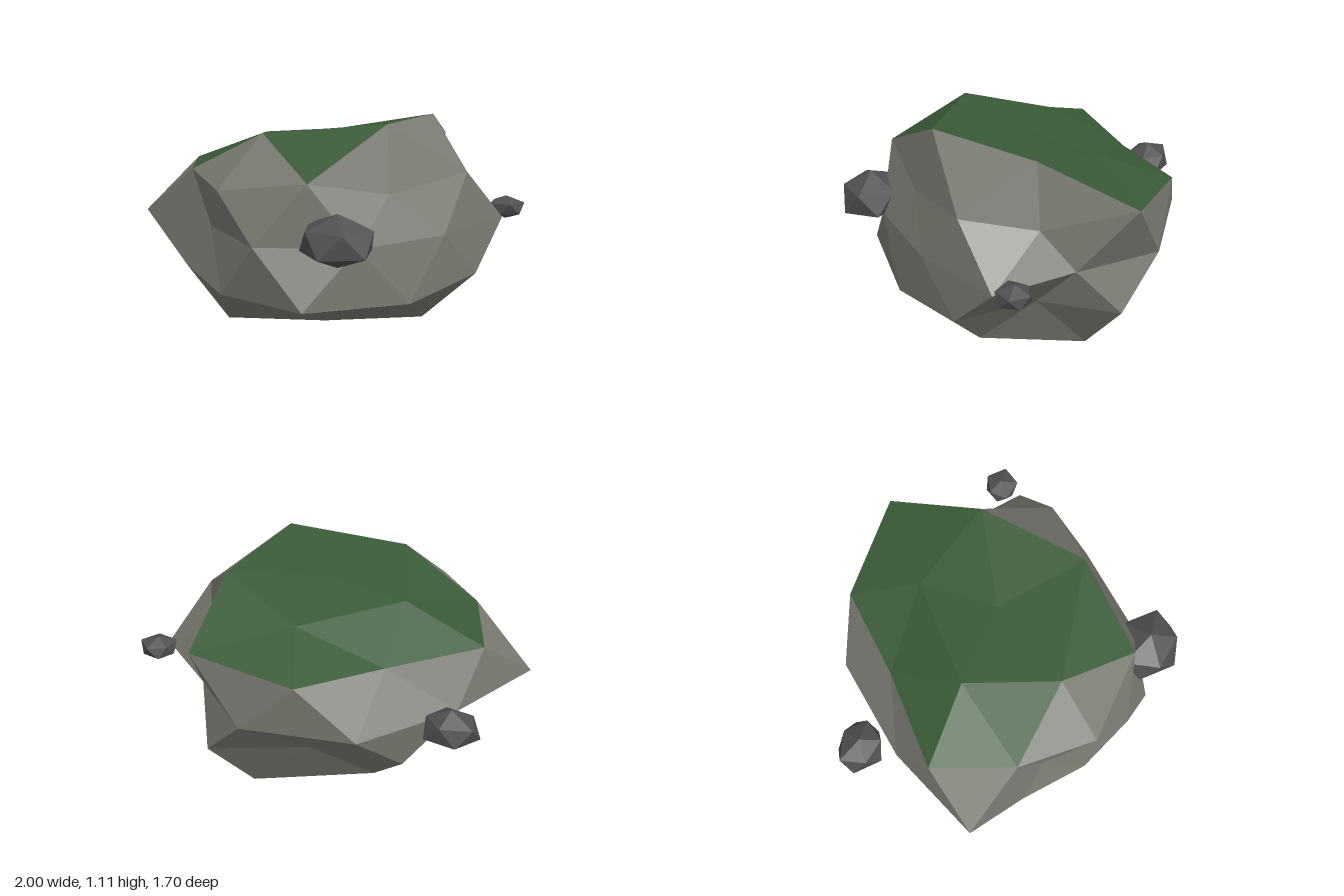
import * as THREE from 'three';

const rockGrey = new THREE.MeshStandardMaterial({ color: 0x7a7b72, flatShading: true });
rockGrey.name = 'rock grey';
const mossGreen = new THREE.MeshStandardMaterial({ color: 0x3a5a38, flatShading: true });
mossGreen.name = 'moss green';
const pebbleGrey = new THREE.MeshStandardMaterial({ color: 0x505050, flatShading: true });
pebbleGrey.name = 'pebble grey';

// Rings of the boulder, each going round from the front left corner
const topPole = [0.03, 1.02, -0.08];
const topRing = [[0.35, 1.11, 0.28], [-0.27, 1.05, 0.32], [-0.38, 0.975, -0.15], [0.08, 0.95, -0.5], [0.5, 1.08, -0.29]];
const upperRing = [
  [0.38, 0.78, 0.37], [0.03, 0.87, 0.63], [-0.44, 0.8, 0.55], [-0.68, 0.83, 0.21], [-0.79, 0.81, -0.21],
  [-0.37, 0.81, -0.53], [-0.02, 0.83, -0.85], [0.51, 0.9, -0.79], [0.58, 0.76, -0.33], [0.72, 0.84, 0.03],
];
const middleRing = [
  [0.27, 0.6], [-0.23, 0.68], [-0.55, 0.32], [-1, 0.05], [-0.71, -0.42],
  [-0.31, -0.82], [0.26, -0.85], [0.57, -0.51], [0.89, -0.19], [0.64, 0.25],
].map(([x, z]) => [x, 0.56, z]);
const lowerRing = [
  [0.5, 0.25, 0.43], [0.03, 0.27, 0.75], [-0.44, 0.26, 0.52], [-0.71, 0.32, 0.25], [-0.56, 0.33, -0.2],
  [-0.48, 0.31, -0.58], [-0.02, 0.35, -0.62], [0.48, 0.31, -0.72], [0.52, 0.33, -0.3], [0.78, 0.31, 0.04],
];
const bottomRing = [[0.02, 0.05, 0.2], [-0.52, 0.01, 0.15], [-0.29, 0.07, -0.38], [0.32, 0, -0.51], [0.5, 0.04, 0]];
const bottomPole = [0.03, 0.035, -0.07];

// Triangles of one half: pole fan, cap ring and belt; shift is the belt offset
function halfTriangles(pole, cap, ring, shift, flip) {
  const out = [];
  const add = (a, b, c) => out.push(flip ? [a, c, b] : [a, b, c]);
  const at = (list, i) => list[(i + list.length) % list.length];
  for (let k = 0; k < 5; k++) {
    const i = 2 * k + shift;
    const a = cap[k], b = at(cap, k + 1);
    add(pole, b, a);
    add(a, at(ring, i + 1), at(ring, i));
    add(a, b, at(ring, i + 1));
    add(b, at(ring, i + 2), at(ring, i + 1));
  }
  for (let i = 0; i < 10; i++) {
    add(ring[i], middleRing[i], at(middleRing, i - 1));
    add(ring[i], at(ring, i + 1), middleRing[i]);
  }
  return out;
}

function meshFromTriangles(triangles, material, name) {
  const geometry = new THREE.BufferGeometry();
  geometry.setAttribute('position', new THREE.Float32BufferAttribute(triangles.flat(2), 3));
  geometry.computeVertexNormals();
  const mesh = new THREE.Mesh(geometry, material);
  mesh.name = name;
  return mesh;
}

// Moss grows on faces that look almost straight up
function isMossy(triangle) {
  const [a, b, c] = triangle.map((p) => new THREE.Vector3(...p));
  return new THREE.Triangle(a, b, c).getNormal(new THREE.Vector3()).y > 0.8;
}

// Slightly uneven twenty-sided stone standing on one corner
function pebble(name, position, size, seed) {
  const geometry = new THREE.IcosahedronGeometry(1, 0);
  geometry.rotateZ(0.5536);
  geometry.rotateY(Math.PI);
  const p = geometry.attributes.position;
  for (let i = 0; i < p.count; i++) {
    const wobble = 1 + 0.1 * Math.sin(5 * p.getX(i) + 3 * p.getZ(i) + seed);
    p.setXYZ(i, p.getX(i) * wobble, p.getY(i), p.getZ(i) * wobble);
  }
  geometry.scale(...size);
  geometry.computeVertexNormals();
  const mesh = new THREE.Mesh(geometry, pebbleGrey);
  mesh.name = name;
  mesh.position.set(...position);
  return mesh;
}

export function createModel() {
  const model = new THREE.Group();
  model.name = 'mossyBoulder';
  const triangles = [
    ...halfTriangles(topPole, topRing, upperRing, 0, false),
    ...halfTriangles(bottomPole, bottomRing, lowerRing, 1, true),
  ];
  model.add(
    meshFromTriangles(triangles.filter((t) => !isMossy(t)), rockGrey, 'boulder'),
    meshFromTriangles(triangles.filter(isMossy), mossGreen, 'mossCap'),
    pebble('frontPebble', [0.19, 0.62, 0.69], [0.205, 0.13, 0.175], 1.2),
    pebble('leftPebble', [0.9, 0.59, -0.3], [0.1, 0.062, 0.092], 3.6),
    pebble('backPebble', [-0.71, 0.59, -0.605], [0.148, 0.095, 0.125], 6.4),
  );
  return model;
}
